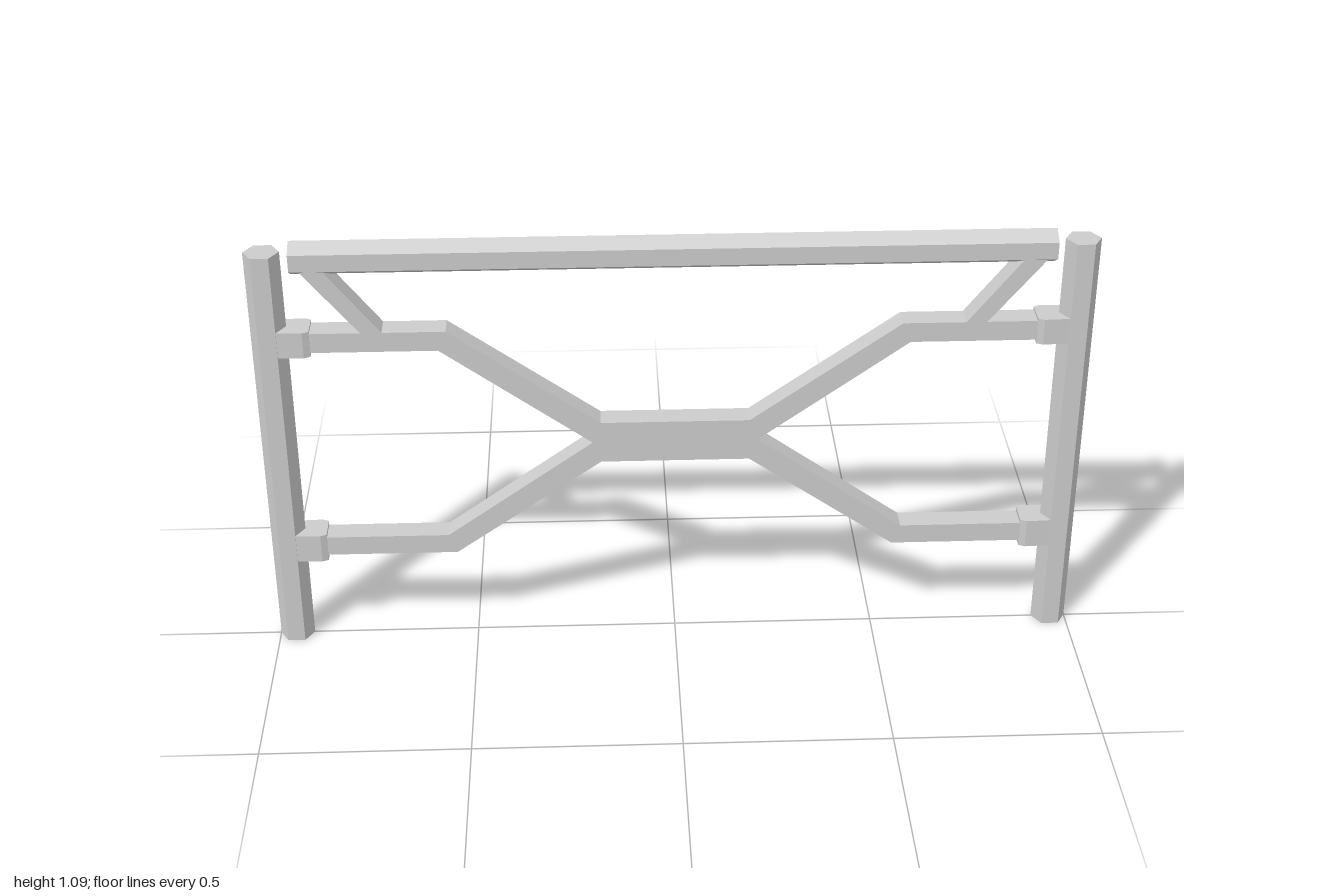
import * as THREE from 'three';

const material = new THREE.MeshStandardMaterial({ color: 0xcccccc, flatShading: true, side: THREE.DoubleSide });

function addMesh(parent, name, geometry) {
  const mesh = new THREE.Mesh(geometry, material);
  mesh.name = name;
  parent.add(mesh);
  return mesh;
}

// Extrudes an outline of [x, y] points, centred on z = 0
function slab(points, depth) {
  const shape = new THREE.Shape(points.map(([x, y]) => new THREE.Vector2(x, y)));
  const geometry = new THREE.ExtrudeGeometry(shape, { depth, bevelEnabled: false });
  return geometry.translate(0, 0, -depth / 2);
}

export function createModel() {
  const model = new THREE.Group();
  model.name = 'fenceGate';
  const radius = 0.0425;
  const postHeight = 1.065;

  // Crossed brace with its two struts, as one flat outline
  const upper = [
    [0.18, 0.61], [0.54, 0.865], [0.69, 0.865], [0.82, 1.03], [0.875, 1.03],
    [0.74, 0.865], [0.9, 0.865], [0.9, 0.815], [0.56, 0.815], [0.2, 0.556],
  ];
  const lower = [[0.56, 0.3], [0.9, 0.3], [0.9, 0.25], [0.54, 0.25], [0.18, 0.502]];
  const rightHalf = [...upper, ...lower];
  const leftHalf = rightHalf.map(([x, y]) => [-x, y]).reverse();
  addMesh(model, 'crossBrace', slab([...rightHalf, ...leftHalf], 0.06));

  // Six-sided top rail with a ridge on top
  const rail = addMesh(model, 'topRail', new THREE.CylinderGeometry(radius, radius, 1.786, 6));
  rail.geometry.rotateZ(Math.PI / 2);
  rail.geometry.rotateX(Math.PI / 2);
  // Turn the section so that corners point up and down
  rail.geometry.computeBoundingBox();
  const box = rail.geometry.boundingBox;
  if (box.max.y < box.max.z) rail.geometry.rotateX(Math.PI / 2);
  rail.position.y = 1.05;

  for (const side of [-1, 1]) {
    const prefix = side > 0 ? 'left' : 'right';

    // Hollow six-sided post with a closed top
    const post = new THREE.Group();
    post.name = prefix + 'Post';
    post.position.x = side * 0.9575;
    model.add(post);
    const tube = new THREE.CylinderGeometry(radius, radius, postHeight, 6, 1, true);
    addMesh(post, 'postTube', tube.rotateY(Math.PI / 2)).position.y = postHeight / 2;
    const cap = new THREE.CircleGeometry(radius, 6).rotateX(-Math.PI / 2);
    addMesh(post, 'postCap', cap).position.y = postHeight;

    // Sockets holding the brace ends, tapering at the mouth
    const plan = [
      [0.94, 0.036], [0.875, 0.039], [0.86, 0.032],
      [0.86, -0.032], [0.875, -0.039], [0.94, -0.036],
    ].map(([x, z]) => [side * x, z]);
    for (const [level, y, height] of [['Upper', 0.839, 0.066], ['Lower', 0.273, 0.074]]) {
      const socket = addMesh(model, prefix + level + 'Socket', slab(plan, height).rotateX(-Math.PI / 2));
      socket.position.y = y;
    }
  }
  return model;
}
